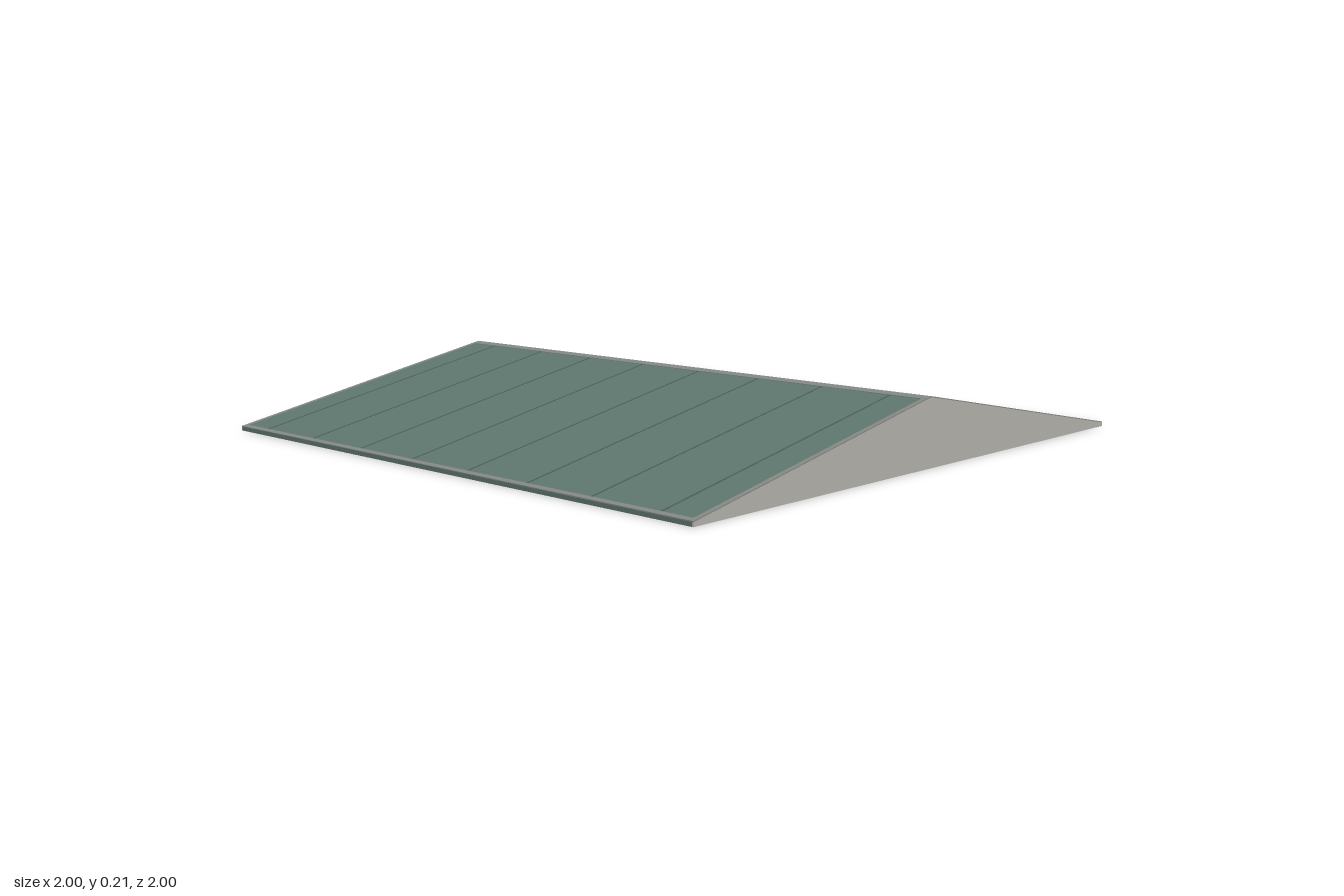
import * as THREE from 'three';

const green = new THREE.MeshStandardMaterial({ color: 0x5f776f });
green.name = 'roof green';
const seamGreen = new THREE.MeshStandardMaterial({ color: 0x4c605a });
seamGreen.name = 'seam green';
const grey = new THREE.MeshStandardMaterial({ color: 0x858986 });
grey.name = 'trim grey';
const stone = new THREE.MeshStandardMaterial({ color: 0xb6b4ad });
stone.name = 'gable stone';

const RIDGE = 0.208, EAVE = 0.013;
const slopeY = z => RIDGE - (RIDGE - EAVE) * Math.abs(z);

// Extrudes a [z, y] outline along x from x0 to x1
function extrudeX(points, x0, x1) {
  const shape = new THREE.Shape(points.map(([z, y]) => new THREE.Vector2(-z, y)));
  const geometry = new THREE.ExtrudeGeometry(shape, { depth: x1 - x0, bevelEnabled: false });
  return geometry.rotateY(Math.PI / 2).translate(x0, 0, 0);
}

// Sheet lying on one slope between z0 and z1, from 'below' to 'above' the roof surface
function slopeSheet(z0, z1, x0, x1, below, above) {
  return extrudeX([
    [z0, slopeY(z0) - below], [z1, slopeY(z1) - below],
    [z1, slopeY(z1) + above], [z0, slopeY(z0) + above],
  ], x0, x1);
}

export function createModel() {
  const model = new THREE.Group();
  model.name = 'gableRoof';
  const add = (name, geometry, material) => {
    const mesh = new THREE.Mesh(geometry, material);
    mesh.name = name;
    model.add(mesh);
  };

  for (const s of [1, -1]) {
    const side = s > 0 ? 'front' : 'back';
    // Roof panel, open underneath
    add(side + 'Panel', slopeSheet(0, s, -0.996, 0.996, 0.013, 0), green);
    // Ridge cap and eave trim
    add(side + 'RidgeCap', slopeSheet(0, s * 0.027, -1, 1, 0.001, 0.002), grey);
    add(side + 'EaveTrim', slopeSheet(s * 0.983, s, -0.985, 0.985, 0.001, 0.002), grey);
    // Standing seams
    for (let i = 0; i < 8; i++) {
      const x = -0.875 + i * 0.25;
      add(side + 'Seam', slopeSheet(s * 0.027, s * 0.983, x - 0.003, x + 0.003, 0.001, 0.001), seamGreen);
    }
    // Trim along the sloping end edges
    for (const e of [1, -1]) {
      const ends = [e, e * 0.985].sort((a, b) => a - b);
      add(side + 'RakeTrim', slopeSheet(s * 0.027, s, ends[0], ends[1], 0.001, 0.002), grey);
    }
  }

  // Triangular end walls
  const gable = [[-1, 0], [1, 0], [1, EAVE - 0.001], [0, RIDGE - 0.001], [-1, EAVE - 0.001]];
  add('leftGable', extrudeX(gable, 0.996, 1), stone);
  add('rightGable', extrudeX(gable, -1, -0.996), stone);
  return model;
}
